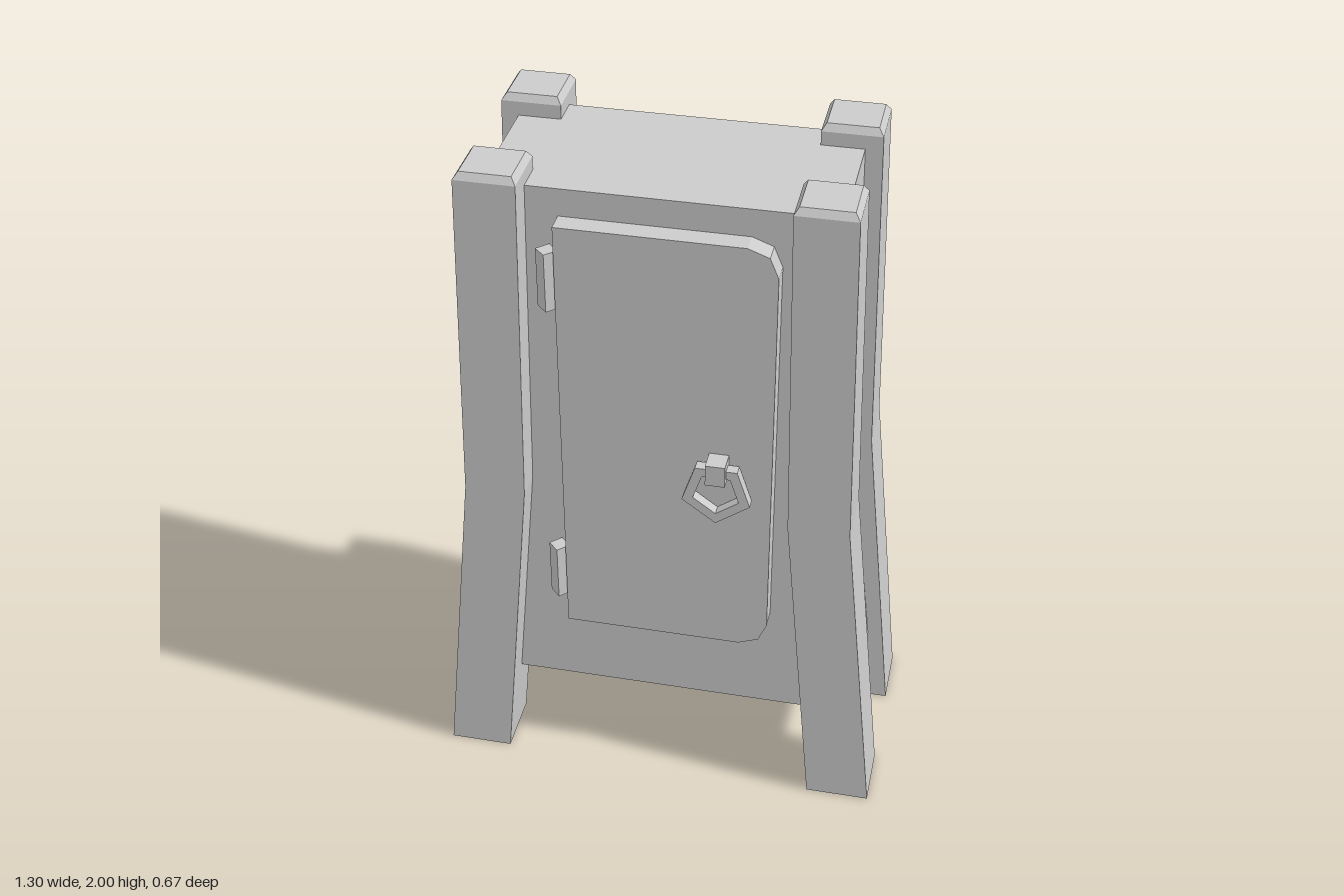
import * as THREE from 'three';

const mat = new THREE.MeshStandardMaterial({ color: 0xcccccc, flatShading: true });
const shellMat = new THREE.MeshStandardMaterial({ color: 0xcccccc, flatShading: true, side: THREE.DoubleSide });

// Rectangular rings [y, x0, x1, z0, z1] joined from bottom to top; closed above, open below.
function loftGeometry(rings) {
  const pos = [];
  const corners = rings.map(([y, x0, x1, z0, z1]) => [[x0, y, z1], [x1, y, z1], [x1, y, z0], [x0, y, z0]]);
  const quad = (a, b, c, d) => pos.push(...a, ...b, ...c, ...a, ...c, ...d);
  for (let i = 0; i < corners.length - 1; i++) {
    for (let k = 0; k < 4; k++) {
      const n = (k + 1) % 4;
      quad(corners[i][k], corners[i][n], corners[i + 1][n], corners[i + 1][k]);
    }
  }
  quad(...corners[corners.length - 1]);
  const geo = new THREE.BufferGeometry();
  geo.setAttribute('position', new THREE.Float32BufferAttribute(pos, 3));
  geo.computeVertexNormals();
  return geo;
}

function polygon(n, radius, start) {
  return Array.from({ length: n }, (_, i) => {
    const a = start + (i * 2 * Math.PI) / n;
    return new THREE.Vector2(Math.cos(a) * radius, Math.sin(a) * radius);
  });
}

export function createModel() {
  const group = new THREE.Group();
  const add = (name, geo, material, x = 0, y = 0, z = 0) => {
    const mesh = new THREE.Mesh(geo, material);
    mesh.name = name;
    mesh.position.set(x, y, z);
    group.add(mesh);
    return mesh;
  };

  // Cabinet shell, flared towards its open bottom
  add('cabinetBody', loftGeometry([
    [0.26, -0.58, 0.58, -0.25, 0.215],
    [1.0, -0.495, 0.495, -0.25, 0.215],
    [1.94, -0.475, 0.475, -0.25, 0.215],
  ]), shellMat);

  // Four splayed corner legs: [y, inner x, outer x, half depth]
  const legProfile = [
    [0, 0.467, 0.652, 0.093],
    [1.0, 0.375, 0.548, 0.091],
    [1.98, 0.355, 0.522, 0.083],
    [2.0, 0.368, 0.508, 0.07],
  ];
  for (const [depth, z] of [['front', 0.213], ['back', -0.243]]) {
    for (const side of [1, -1]) {
      const rings = legProfile.map(([y, xi, xo, h]) =>
        [y, side > 0 ? xi : -xo, side > 0 ? xo : -xi, z - h, z + h]);
      add(`${depth}${side > 0 ? 'Left' : 'Right'}Leg`, loftGeometry(rings), shellMat);
    }
  }

  // Door with clipped corners on the opening side
  const door = new THREE.Shape([
    [-0.27, 0.53], [0.24, 0.53], [0.298, 0.553], [0.322, 0.61],
    [0.322, 1.78], [0.298, 1.838], [0.24, 1.86], [-0.27, 1.86],
  ].map(([x, y]) => new THREE.Vector2(x, y)));
  add('door', new THREE.ExtrudeGeometry(door, { depth: 0.067, bevelEnabled: false }), mat, 0, 0, 0.208);

  // Diamond-section hinges
  for (const [name, y] of [['upperHinge', 1.693], ['lowerHinge', 0.708]]) {
    add(name, new THREE.CylinderGeometry(0.03, 0.03, 0.175, 4), mat, -0.293, y, 0.255);
  }

  // Five-sided ring handle and its mount
  const ring = new THREE.Shape(polygon(5, 0.1, -Math.PI / 2));
  ring.holes.push(new THREE.Path(polygon(5, 0.067, -Math.PI / 2)));
  add('handleRing', new THREE.ExtrudeGeometry(ring, { depth: 0.032, bevelEnabled: false }), mat, 0.175, 1.1, 0.287);
  add('handleMount', new THREE.BoxGeometry(0.055, 0.065, 0.064), mat, 0.175, 1.172, 0.303);

  return group;
}
